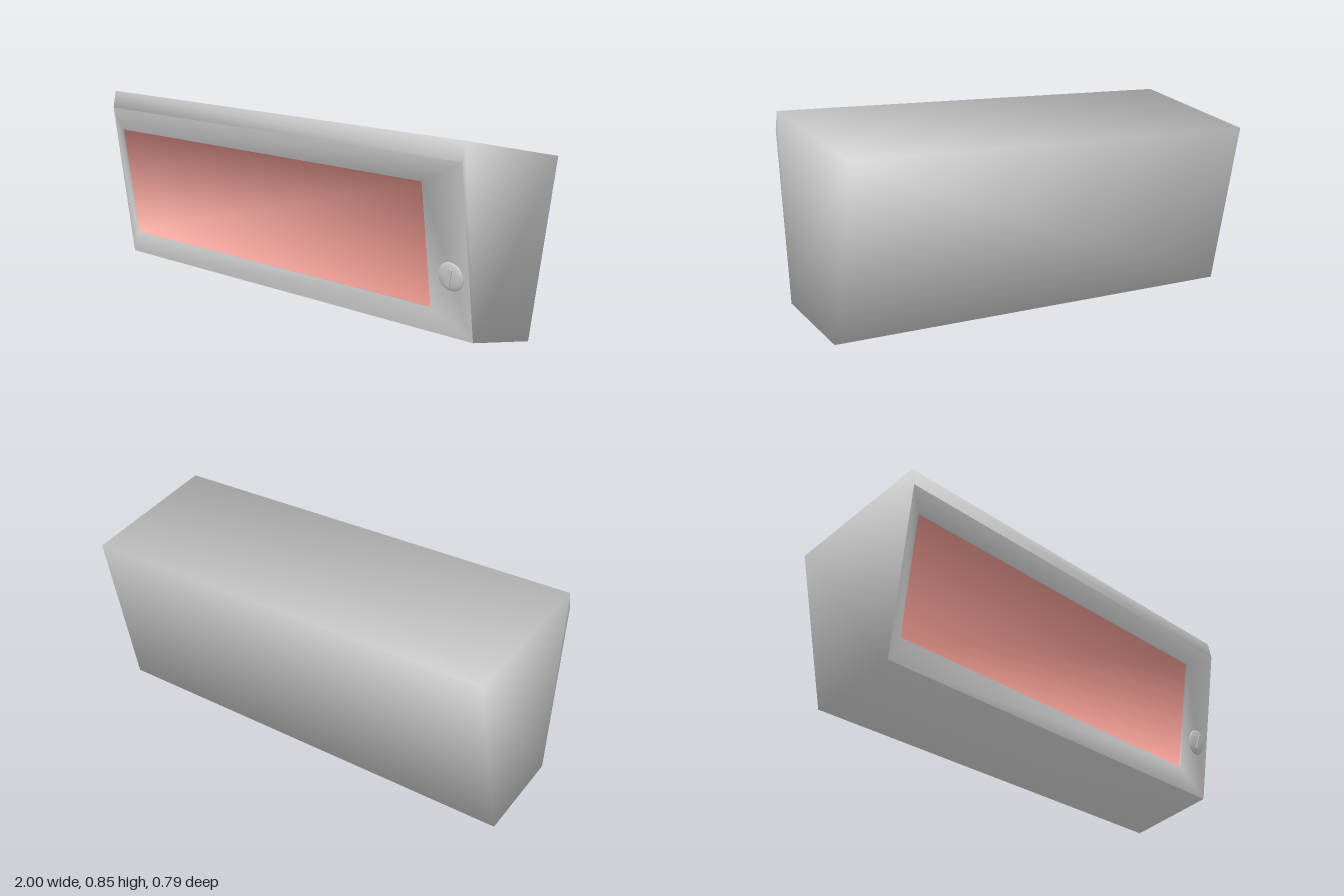
import * as THREE from 'three';

const HALF = 0.979; // half the width of the case
const LEAN = 0.138; // forward lean of the front

// Smooth normals in which every face counts by its angle at the corner.
function smoothNormals(points, index) {
  const p = points.map((c) => new THREE.Vector3(...c));
  const normals = p.map(() => new THREE.Vector3());
  for (let t = 0; t < index.length; t += 3) {
    for (let k = 0; k < 3; k++) {
      const [a, b, c] = [0, 1, 2].map((s) => index[t + ((k + s) % 3)]);
      const u = p[b].clone().sub(p[a]), v = p[c].clone().sub(p[a]);
      normals[a].addScaledVector(u.clone().cross(v).normalize(), u.angleTo(v));
    }
  }
  return normals.flatMap((n) => n.normalize().toArray());
}

// Joins equal-sized rings of points into one smooth surface, with optional caps and open last side.
function loft(rings, { capStart = false, capEnd = false, open = false } = {}) {
  const n = rings[0].length, last = (rings.length - 1) * n, index = [];
  for (let r = 0; r < rings.length - 1; r++) {
    for (let i = 0; i < (open ? n - 1 : n); i++) {
      const j = (i + 1) % n, a = r * n, b = a + n;
      index.push(a + i, a + j, b + j, a + i, b + j, b + i);
    }
  }
  for (let i = 1; i < n - 1; i++) {
    if (capStart) index.push(0, i + 1, i);
    if (capEnd) index.push(last, last + i, last + i + 1);
  }
  const points = rings.flat();
  const geometry = new THREE.BufferGeometry();
  geometry.setAttribute('position', new THREE.Float32BufferAttribute(points.flat(), 3));
  geometry.setAttribute('normal', new THREE.Float32BufferAttribute(smoothNormals(points, index), 3));
  geometry.setIndex(index);
  return geometry;
}

// Depth of the leaning front at a given height.
const frontZ = (y) => 0.2165 + LEAN * (y - 0.085);

// Rectangle lying on the front, pushed inward by depth.
const frontRect = (x0, x1, y0, y1, depth = 0) =>
  [[x0, y0], [x1, y0], [x1, y1], [x0, y1]].map(([x, y]) => [x, y, frontZ(y) - depth]);

export function createModel() {
  const group = new THREE.Group();
  group.name = 'tiltedOven';
  const grey = new THREE.MeshStandardMaterial({ color: 0xcccccc });
  const red = new THREE.MeshStandardMaterial({ color: 0xee9a90 });

  const add = (name, geometry, material, parent = group) => {
    const mesh = new THREE.Mesh(geometry, material);
    mesh.name = name;
    parent.add(mesh);
    return mesh;
  };

  // Case: side profile (z, y) carried across the width, open at the front
  const profile = [[frontZ(0.085), 0.085], [-0.151, 0], [-0.313, 0.713], [0.297, 0.85], [frontZ(0.775), 0.775]];
  const section = (x) => profile.map(([z, y]) => [x, y, z]);
  add('case', loft([section(-HALF), section(HALF)], { capStart: true, capEnd: true, open: true }), grey);

  // Front frame with the rim of the window
  const opening = [-0.937, 0.79, 0.184, 0.678];
  add('frontFrame', loft([
    frontRect(-HALF, HALF, 0.085, 0.775),
    frontRect(...opening),
    frontRect(...opening, 0.01),
  ]), grey);

  // Coloured window, set just behind the frame
  add('window', loft([frontRect(...opening, 0.01), frontRect(...opening, 0.013)], { capEnd: true }), red);

  // Round knob with a finger ridge, standing on the leaning front
  const knob = new THREE.Group();
  knob.name = 'knob';
  knob.position.set(0.896, 0.33, frontZ(0.33));
  knob.rotation.x = Math.atan(LEAN);
  const dome = new THREE.SphereGeometry(0.057, 24, 8, 0, Math.PI * 2, 0, Math.PI / 2);
  dome.rotateX(Math.PI / 2).scale(1, 1, 0.2);
  add('knobDome', dome, grey, knob);
  const ridge = add('knobRidge', new THREE.BoxGeometry(0.016, 0.07, 0.012), grey, knob);
  ridge.position.z = 0.008;
  ridge.rotation.z = -0.3;
  group.add(knob);

  // The whole oven is turned slightly
  group.rotation.y = THREE.MathUtils.degToRad(4.84);
  return group;
}
